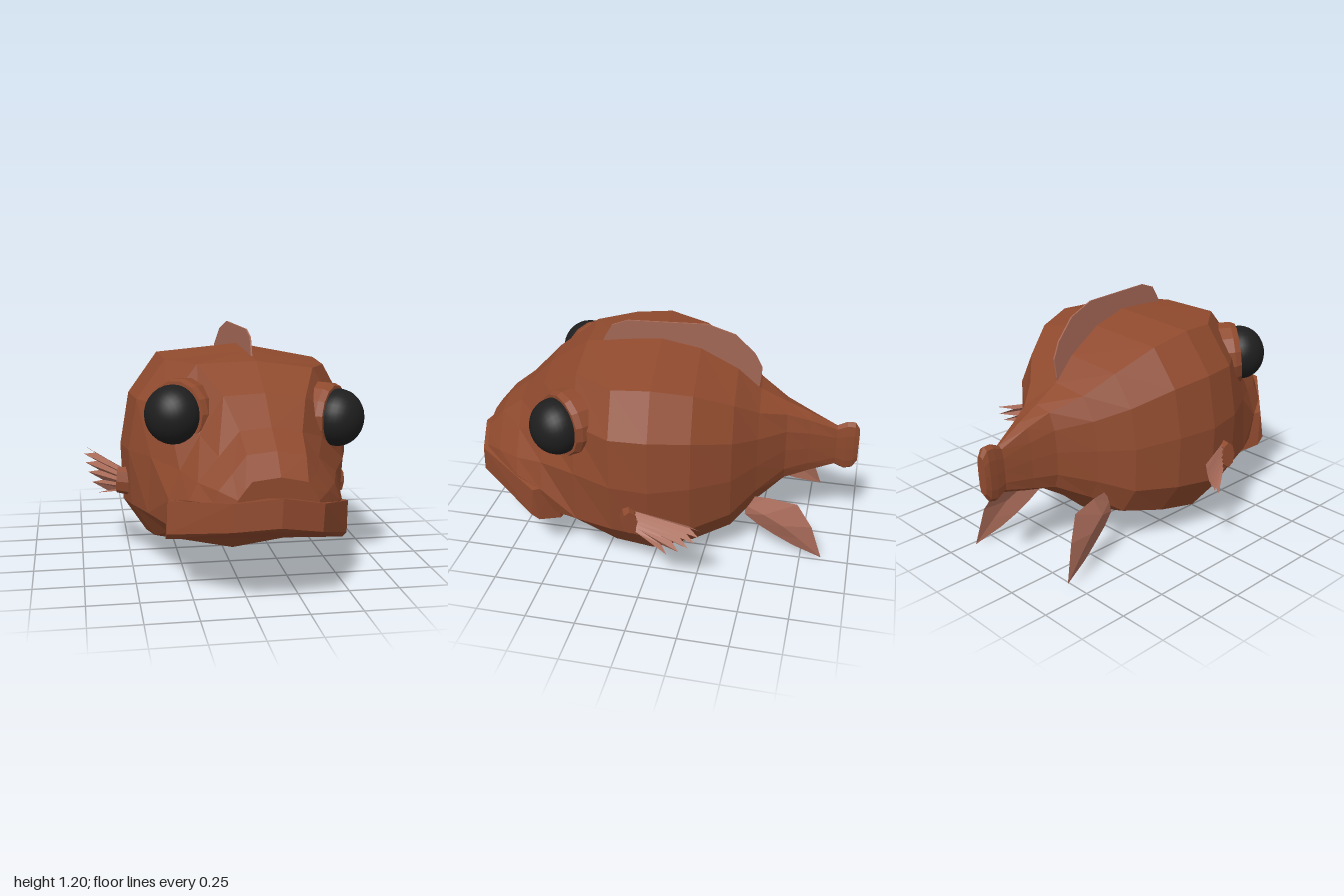
import * as THREE from 'three';
import { ConvexGeometry } from 'three/addons/geometries/ConvexGeometry.js';

const bodyBrown = new THREE.MeshStandardMaterial({ color: 0x8f4a2e });
bodyBrown.name = 'bodyBrown';
const finPink = new THREE.MeshStandardMaterial({ color: 0xa66957, side: THREE.DoubleSide });
finPink.name = 'finPink';
const eyeBlack = new THREE.MeshStandardMaterial({ color: 0x1e1e1e });
eyeBlack.name = 'eyeBlack';

// Faceted normals for low-poly parts
function facet(geo) {
  const g = geo.index ? geo.toNonIndexed() : geo;
  g.computeVertexNormals();
  return g;
}

function part(name, geo, mat, parent) {
  const m = new THREE.Mesh(geo, mat);
  m.name = name;
  parent.add(m);
  return m;
}

function indexed(points, index) {
  const g = new THREE.BufferGeometry();
  g.setAttribute('position', new THREE.Float32BufferAttribute(points.flat(), 3));
  g.setIndex(index);
  return facet(g);
}

// Closed skin over half cross-sections running from top to bottom, mirrored in x
function loft(sections) {
  const rings = sections.map(([z, half]) => [
    ...half.map(([x, y]) => [x, y, z]),
    ...half.slice(1, -1).reverse().map(([x, y]) => [-x, y, z]),
  ]);
  const n = rings[0].length, index = [], last = (rings.length - 1) * n;
  for (let i = 0; i < rings.length - 1; i++) {
    for (let j = 0; j < n; j++) {
      const a = i * n + j, b = i * n + (j + 1) % n;
      index.push(a, a + n, b, b, a + n, b + n);
    }
  }
  for (let j = 1; j < n - 1; j++) index.push(0, j, j + 1, last, last + j + 1, last + j);
  return indexed(rings.flat(), index);
}

// Sheet stretched between two edges with the same number of points
function sheet(edgeA, edgeB) {
  const n = edgeA.length, index = [];
  for (let i = 0; i < n - 1; i++) index.push(i, i + 1, n + i, i + 1, n + i + 1, n + i);
  return indexed([...edgeA, ...edgeB], index);
}

// Rounded-box cross-section shape: width fraction, height fraction
const girth = [[0, 1], [0.72, 0.945], [0.95, 0.75], [1, 0.5], [0.95, 0.23], [0.73, 0.07], [0, 0]];

// z, top, bottom, half width
const trunk = [
  [-0.995, 0.65, 0.45, 0.025], [-0.97, 0.69, 0.41, 0.033], [-0.93, 0.69, 0.4, 0.033],
  [-0.88, 0.665, 0.425, 0.03], [-0.74, 0.735, 0.38, 0.07], [-0.62, 0.79, 0.345, 0.12],
  [-0.48, 0.86, 0.25, 0.255], [-0.36, 0.97, 0.14, 0.4], [-0.17, 1.075, 0.085, 0.525],
  [0.03, 1.12, 0.042, 0.583], [0.22, 1.105, 0.075, 0.57],
].map(([z, top, bottom, w]) => [z, girth.map(([u, v]) => [u * w, bottom + v * (top - bottom)])]);

// Head narrows to a bridge between the eyes and flares to the mouth
const head = [
  [0.41, [[0, 1.08], [0.29, 1.055], [0.43, 0.85], [0.49, 0.6], [0.49, 0.32], [0.38, 0.22], [0, 0.19]]],
  [0.6, [[0, 0.955], [0.2, 0.935], [0.3, 0.75], [0.385, 0.58], [0.43, 0.44], [0.4, 0.3], [0, 0.27]]],
  [0.74, [[0, 0.82], [0.15, 0.8], [0.24, 0.68], [0.33, 0.56], [0.365, 0.475], [0.34, 0.4], [0, 0.36]]],
  [0.85, [[0, 0.735], [0.14, 0.715], [0.2, 0.63], [0.26, 0.55], [0.275, 0.49], [0.25, 0.44], [0, 0.4]]],
  [0.935, [[0, 0.635], [0.13, 0.615], [0.16, 0.575], [0.19, 0.53], [0.2, 0.49], [0.18, 0.45], [0, 0.43]]],
];

// Broad scoop-shaped jaw with a blunt lip
function jawGeometry() {
  const half = [
    [0, 0.555, 0.995], [0.21, 0.52, 0.955], [0.445, 0.445, 0.64],
    [0, 0.42, 1], [0.21, 0.39, 0.96], [0.445, 0.29, 0.66],
    [0.44, 0.255, 0.62], [0.4, 0.44, 0.56], [0.38, 0.23, 0.52], [0, 0.22, 0.44], [0, 0.25, 0.6],
  ];
  const pts = half.flatMap(([x, y, z]) => (x ? [1, -1] : [1]).map(s => new THREE.Vector3(s * x, y, z)));
  return facet(new ConvexGeometry(pts));
}

function addEye(side, parent) {
  const eye = new THREE.Group();
  eye.name = side > 0 ? 'leftEye' : 'rightEye';
  eye.position.set(side * 0.4, 0.825, 0.487);
  eye.quaternion.setFromUnitVectors(new THREE.Vector3(0, 1, 0),
    new THREE.Vector3(side * 0.72, 0.06, 0.69).normalize());
  parent.add(eye);
  const rim = [[0.172, -0.12], [0.17, -0.03], [0.157, 0], [0.135, 0]].map(p => new THREE.Vector2(...p));
  part('eyeSocket', facet(new THREE.LatheGeometry(rim, 14)), bodyBrown, eye);
  const ball = part('eyeball', new THREE.SphereGeometry(0.141, 28, 18), eyeBlack, eye);
  ball.scale.y = 0.9;
  ball.position.y = 0.015;
}

function addPectoralFin(side, parent) {
  const fin = new THREE.Group();
  fin.name = side > 0 ? 'leftPectoralFin' : 'rightPectoralFin';
  parent.add(fin);
  const stub = part('finStub', facet(new THREE.CylinderGeometry(0.038, 0.045, 0.1, 8)), bodyBrown, fin);
  stub.position.set(side * 0.555, 0.41, 0.13);
  stub.rotation.z = -side * Math.PI / 2;
  stub.rotation.y = side * 0.3;
  stub.scale.x = 1.75;
  // Pleated fan of rays with a serrated edge
  const root = [], tip = [];
  for (let i = 0; i <= 10; i++) {
    const t = i / 10, ray = i % 2 === 0, fold = ray ? 0.018 : -0.018;
    root.push([side * (0.58 + fold * 0.5), 0.475 - 0.13 * t, 0.09]);
    const reach = (ray ? 0.33 : 0.265) - 0.17 * t * t;
    tip.push([side * (0.6 + reach * 0.37 + fold), 0.505 - 0.215 * t, 0.085 - reach]);
  }
  part('finRays', sheet(root, tip), finPink, fin);
}

function addPelvicFin(side, parent) {
  const upper = [[0.22, 0.32, -0.43], [0.25, 0.335, -0.55], [0.27, 0.32, -0.7], [0.31, 0.21, -0.78], [0.33, 0.03, -0.84]];
  const middle = [[0.24, 0.27, -0.43], [0.285, 0.25, -0.53], [0.305, 0.2, -0.63], [0.315, 0.13, -0.72], [0.33, 0.03, -0.84]];
  const lower = [[0.25, 0.22, -0.43], [0.265, 0.17, -0.5], [0.28, 0.12, -0.59], [0.3, 0.075, -0.69], [0.33, 0.03, -0.84]];
  // Both fins drift a little towards the right
  const flip = edge => edge.map(([x, y, z]) => [side * x - 0.025, y, z]);
  const fin = new THREE.Group();
  fin.name = side > 0 ? 'leftPelvicFin' : 'rightPelvicFin';
  part('upperWeb', sheet(flip(upper), flip(middle)), finPink, fin);
  part('lowerWeb', sheet(flip(middle), flip(lower)), finPink, fin);
  parent.add(fin);
}

// Sail along the back, thin and flat-topped
function dorsalGeometry() {
  const outline = [[0.34, 1.06], [0.32, 1.11], [0.28, 1.18], [0.2, 1.21], [-0.2, 1.21], [-0.34, 1.16],
    [-0.44, 1.06], [-0.48, 0.98], [-0.47, 0.88], [-0.43, 0.83], [-0.3, 0.97], [0, 1.06]];
  const shape = new THREE.Shape(outline.map(([z, y]) => new THREE.Vector2(-z, y)));
  const g = new THREE.ExtrudeGeometry(shape, { depth: 0.008, bevelEnabled: false });
  g.translate(0, 0, -0.004);
  g.rotateY(Math.PI / 2);
  return facet(g);
}

export function createModel() {
  const model = new THREE.Group();
  model.name = 'fish';

  // The fish swims with a slight yaw and roll
  const pose = new THREE.Group();
  pose.name = 'pose';
  pose.position.set(0.035, 0.58, 0);
  pose.rotation.set(0, 0.088, -0.065, 'YXZ');
  model.add(pose);
  const fish = new THREE.Group();
  fish.name = 'fishParts';
  fish.position.y = -0.58;
  pose.add(fish);

  part('body', loft([...trunk, ...head]), bodyBrown, fish);
  part('jaw', jawGeometry(), bodyBrown, fish);
  part('dorsalFin', dorsalGeometry(), finPink, fish);
  for (const side of [1, -1]) {
    addEye(side, fish);
    addPectoralFin(side, fish);
    addPelvicFin(side, fish);
  }
  return model;
}
